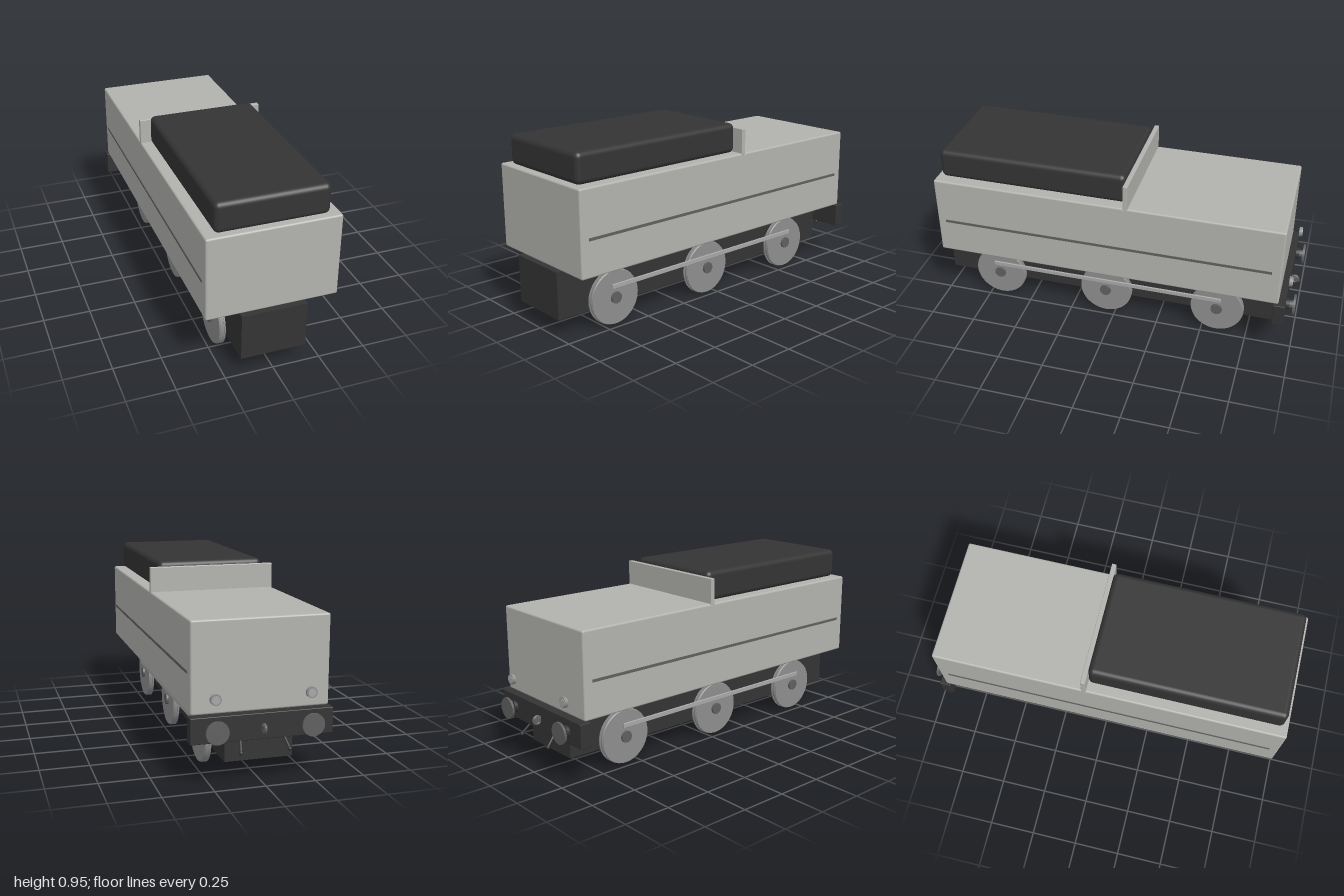
import * as THREE from 'three';
import { RoundedBoxGeometry } from 'three/addons/geometries/RoundedBoxGeometry.js';

function material(name, color) {
  const m = new THREE.MeshStandardMaterial({ color });
  m.name = name;
  return m;
}

export function createModel() {
  const grey = material('body grey', 0xb2b2ae);
  const black = material('frame black', 0x343434);
  const steel = material('wheel steel', 0x8e8e8e);
  const bright = material('bright steel', 0xa8a8a8);
  const dark = material('dark steel', 0x606060);

  const model = new THREE.Group();
  model.name = 'tender';

  const add = (parent, name, geometry, mat, x = 0, y = 0, z = 0) => {
    const mesh = new THREE.Mesh(geometry, mat);
    mesh.name = name;
    mesh.position.set(x, y, z);
    parent.add(mesh);
  };
  // Box given by its limits, with optional rounded edges
  const box = (name, mat, [x0, x1], [y0, y1], [z0, z1], r = 0) => {
    const size = [x1 - x0, y1 - y0, z1 - z0];
    const g = r ? new RoundedBoxGeometry(...size, 4, r) : new THREE.BoxGeometry(...size);
    add(model, name, g, mat, (x0 + x1) / 2, (y0 + y1) / 2, (z0 + z1) / 2);
  };
  const axleX = (r, w, n = 48) => new THREE.CylinderGeometry(r, r, w, n).rotateZ(Math.PI / 2);
  const axleZ = (r, w, n = 32) => new THREE.CylinderGeometry(r, r, w, n).rotateX(Math.PI / 2);

  // Frame, tank, coal load and bulkhead
  box('frame', black, [-0.17, 0.17], [0.097, 0.346], [-0.89, 1]);
  box('endBeam', black, [-0.353, 0.353], [0.215, 0.343], [-0.95, -0.89], 0.004);
  box('tank', grey, [-0.342, 0.342], [0.345, 0.791], [-0.915, 0.972], 0.01);
  box('coalLoad', black, [-0.29, 0.29], [0.789, 0.948], [-0.08, 0.945], 0.028);
  box('bulkhead', grey, [-0.342, 0.342], [0.785, 0.923], [-0.105, -0.08], 0.003);

  for (const s of [-1, 1]) {
    const side = s > 0 ? 'left' : 'right';

    // Lining stripe
    box(side + 'Stripe', dark, [s * 0.3425 - 0.003, s * 0.3425 + 0.003], [0.533, 0.547], [-0.865, 0.925]);

    // Wheels with rims and hubs
    [0.685, 0.053, -0.58].forEach((z, i) => {
      const wheel = new THREE.Group();
      wheel.name = side + 'Wheel' + (i + 1);
      wheel.position.set(s * 0.202, 0.148, z);
      model.add(wheel);
      add(wheel, 'disc', axleX(0.143, 0.032), steel);
      add(wheel, 'rim', new THREE.TorusGeometry(0.137, 0.0105, 8, 48).rotateY(Math.PI / 2), steel, s * 0.005);
      add(wheel, 'flange', axleX(0.147, 0.008), steel, -s * 0.012);
      add(wheel, 'hub', axleX(0.031, 0.022, 24), dark, s * 0.017);
      add(wheel, 'axle', axleX(0.025, 0.06, 16), dark, -s * 0.03);
    });

    // Coupling rod
    box(side + 'CouplingRod', bright, [s * 0.231 - 0.005, s * 0.231 + 0.005], [0.203, 0.227], [-0.603, 0.713], 0.002);

    // Round bumper on the end beam
    const bumper = new THREE.Group();
    bumper.name = side + 'Bumper';
    bumper.position.set(s * 0.235, 0.278, 0);
    model.add(bumper);
    add(bumper, 'base', axleZ(0.031, 0.02), black, 0, 0, -0.958);
    add(bumper, 'stem', axleZ(0.02, 0.04), dark, 0, 0, -0.97);
    add(bumper, 'head', axleZ(0.056, 0.012), dark, 0, 0, -0.993);

    // Lamp
    const lamp = new THREE.Group();
    lamp.name = side + 'Lamp';
    lamp.position.set(s * 0.235, 0.427, 0);
    model.add(lamp);
    add(lamp, 'case', axleZ(0.027, 0.016), steel, 0, 0, -0.96);
    add(lamp, 'lens', axleZ(0.02, 0.004), bright, 0, 0, -0.969);

    // Brake hose
    const path = new THREE.CatmullRomCurve3([
      new THREE.Vector3(s * 0.106, 0.225, -0.935),
      new THREE.Vector3(s * 0.112, 0.203, -0.955),
      new THREE.Vector3(s * 0.12, 0.172, -0.985),
    ]);
    add(model, side + 'Hose', new THREE.TubeGeometry(path, 12, 0.006, 8), black);
    add(model, side + 'HoseEnd', new THREE.SphereGeometry(0.01, 12, 8), black, s * 0.12, 0.169, -0.987);
  }

  // Coupling hook
  box('couplingShank', dark, [-0.009, 0.009], [0.262, 0.288], [-0.985, -0.945], 0.003);
  add(model, 'couplingHook', new THREE.TorusGeometry(0.02, 0.007, 8, 24).rotateY(Math.PI / 2), dark, 0, 0.272, -0.968);
  return model;
}
